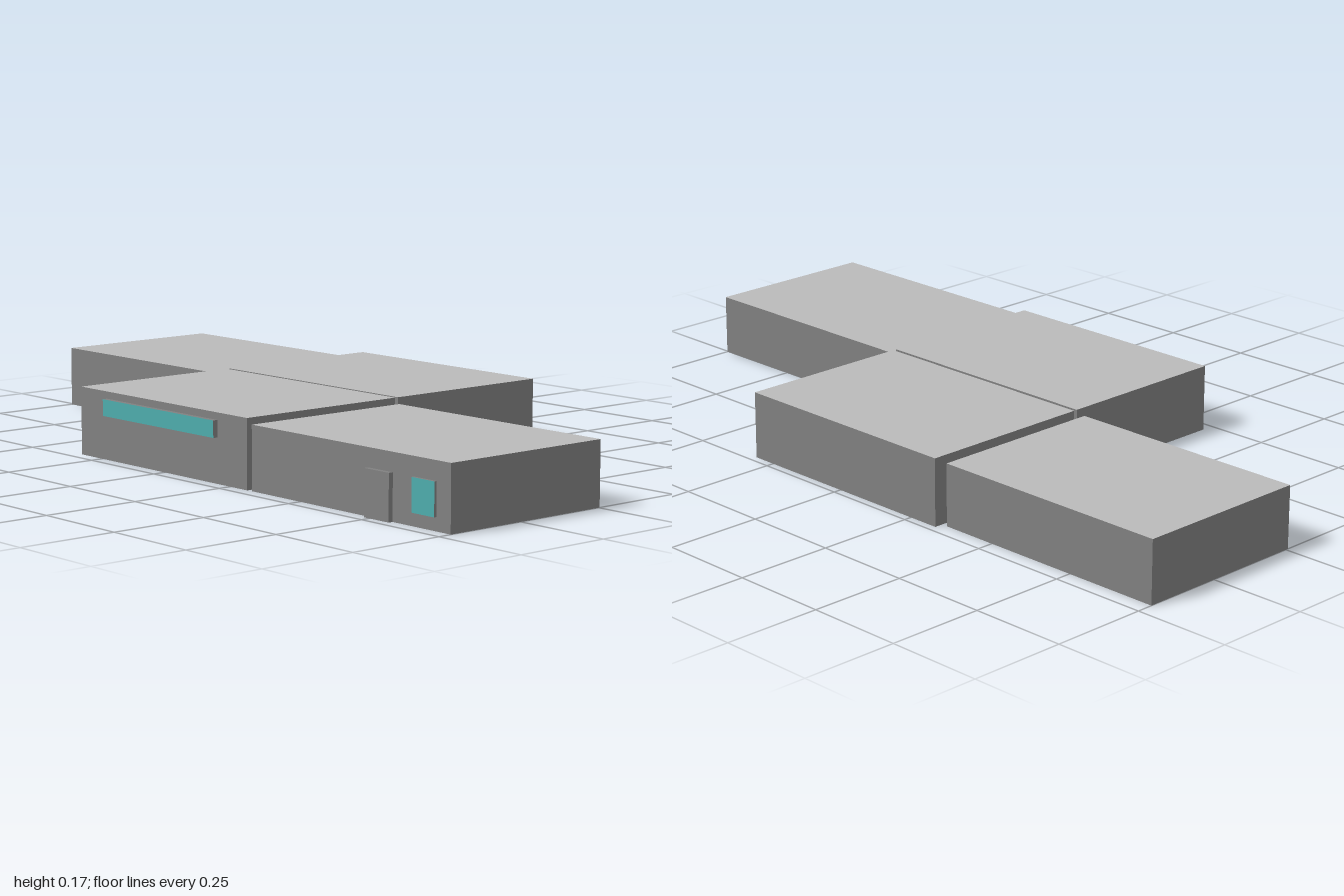
import * as THREE from 'three';

const paint = (name, hex) => {
  const m = new THREE.MeshStandardMaterial({ color: hex });
  m.name = name;
  return m;
};

export function createModel() {
  const wall = paint('wallGrey', 0x808080);
  const roof = paint('roofGrey', 0xbababa);
  const floor = paint('floorBrown', 0x5c4033);
  const glass = paint('glassTeal', 0x4eacac);
  const model = new THREE.Group();
  model.name = 'modularBuilding';

  // Box given by its extents, with one material per face: +x, -x, +y, -y, +z, -z
  const block = (name, [x0, x1], [y0, y1], [z0, z1], materials) => {
    const mesh = new THREE.Mesh(new THREE.BoxGeometry(x1 - x0, y1 - y0, z1 - z0), materials);
    mesh.position.set((x0 + x1) / 2, (y0 + y1) / 2, (z0 + z1) / 2);
    mesh.name = name;
    model.add(mesh);
  };

  // Four flat-roofed rooms
  const room = [wall, wall, roof, floor, wall, wall];
  block('rightRoom', [-1, -0.35], [0, 0.158], [-0.458, 0.007], room);
  block('backRoom', [-0.334, 0.313], [0, 0.172], [-0.48, -0.013], room);
  block('frontRoom', [-0.334, 0.313], [0, 0.172], [-0.003, 0.467], room);
  block('leftRoom', [0.328, 1], [0, 0.158], [-0.003, 0.465], room);

  // Short passages bridging the gaps between rooms
  const passage = [wall, wall, wall, floor, wall, wall];
  block('rightPassage', [-0.352, -0.332], [0, 0.112], [-0.265, -0.206], passage);
  block('leftPassage', [0.311, 0.33], [0, 0.112], [0.19, 0.25], passage);
  for (const x of [-0.175, 0.153]) {
    block('middlePassage', [x - 0.037, x + 0.037], [0, 0.112], [-0.015, -0.001], passage);
  }

  // Front door and framed windows
  const framed = [wall, wall, wall, wall, glass, wall];
  block('frontDoor', [0.732, 0.814], [0, 0.112], [0.463, 0.477], wall);
  block('longWindow', [-0.228, 0.204], [0.112, 0.154], [0.465, 0.48], framed);
  block('smallWindow', [0.882, 0.955], [0.032, 0.112], [0.463, 0.472], framed);

  return model;
}
